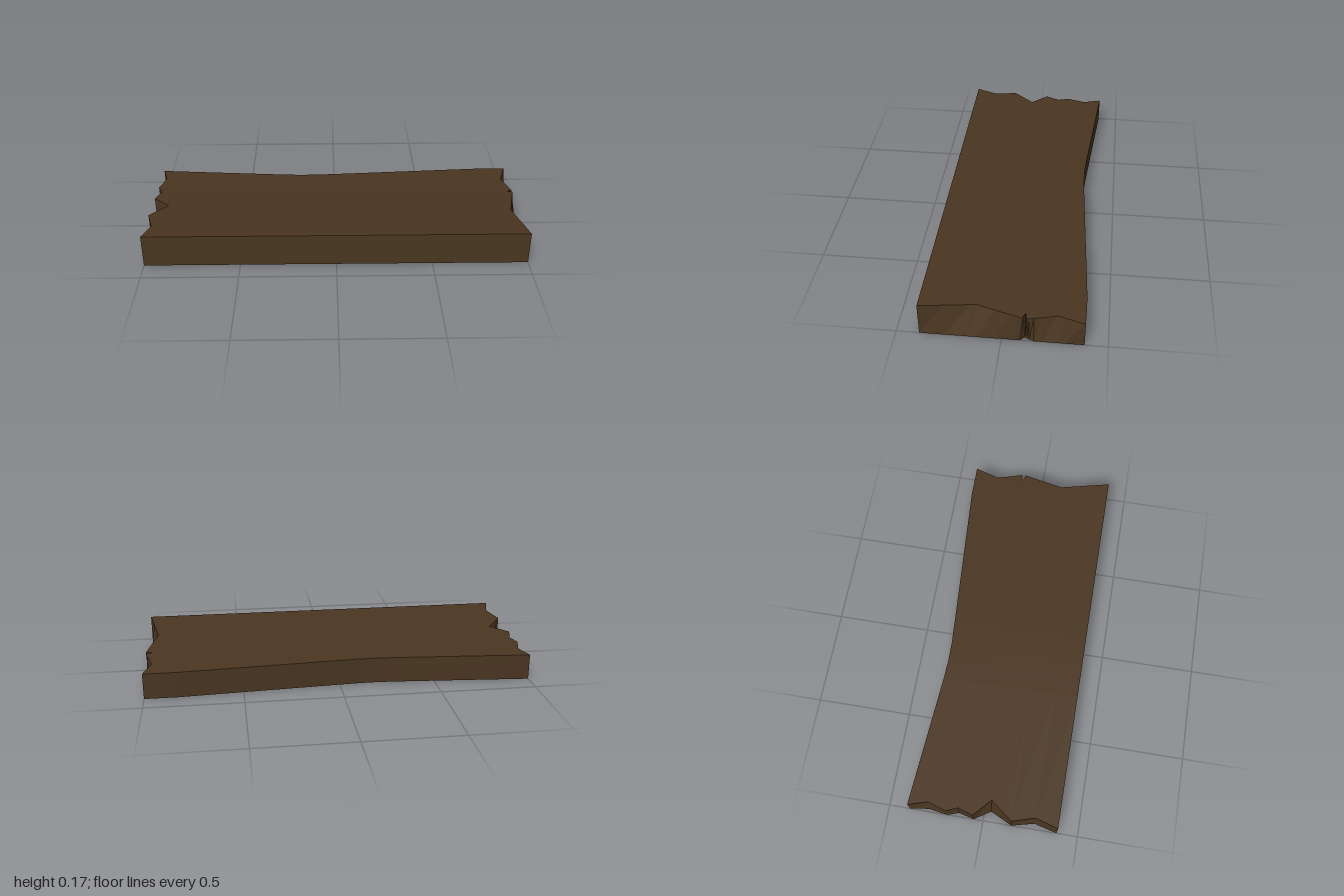
import * as THREE from 'three';

// piecewise-linear lookup, points sorted by first value
function lerpPath(points, t) {
  for (let i = 1; i < points.length; i++) {
    const [t0, v0] = points[i - 1], [t1, v1] = points[i];
    if (t <= t1) return v0 + (v1 - v0) * Math.max(0, (t - t0) / (t1 - t0));
  }
  return points[points.length - 1][1];
}

// broken ends as [z, x], separately for the upper and lower edges
const leftTop = [[-0.39, -1], [-0.29, -0.97], [-0.19, -1], [-0.13, -0.975], [-0.05, -1],
  [0.035, -0.91], [0.15, -1], [0.27, -0.965], [0.39, -1]];
const leftBottom = [[-0.39, -1], [-0.29, -0.985], [-0.19, -1], [-0.13, -0.98], [-0.05, -1],
  [0.035, -0.945], [0.15, -1], [0.27, -0.97], [0.39, -1]];
const rightTop = [[-0.39, 1], [-0.26, 0.96], [-0.12, 0.998], [-0.11, 0.96], [-0.1, 0.998],
  [0.12, 0.945], [0.39, 1]];
const rightBottom = [[-0.39, 1], [-0.152, 1], [-0.108, 0.98], [-0.087, 1], [0.39, 1]];

// thickness across the board [z, y] and the worn back edge [x, z]
const thickness = [[-0.39, 0.135], [-0.19, 0.136], [0.39, 0.175]];
const backEdge = [[-1, -0.39], [-0.3, -0.335], [-0.2, -0.33], [-0.1, -0.331], [0.02, -0.338],
  [0.83, -0.39], [1, -0.39]];

function plankGeometry() {
  const paths = [leftTop, leftBottom, rightTop, rightBottom, thickness];
  const rows = [...new Set(paths.flat().map((p) => p[0]))].sort((a, b) => b - a);
  const columns = backEdge.slice(1, -1).map((p) => p[0]);

  // one closed cross-section per row: along the underside, back over the top
  const sections = rows.map((z, i) => {
    const last = i === rows.length - 1;
    const place = (x, top) => {
      const pz = last ? lerpPath(backEdge, x) : z;
      return [x, top ? lerpPath(thickness, pz) : 0, pz];
    };
    const bottom = [lerpPath(leftBottom, z), ...columns, lerpPath(rightBottom, z)];
    const top = [lerpPath(leftTop, z), ...columns, lerpPath(rightTop, z)];
    return [...bottom.map((x) => place(x, false)), ...top.reverse().map((x) => place(x, true))];
  });

  const positions = [];
  const quad = (a, b, c, d) => positions.push(...a, ...b, ...c, ...a, ...c, ...d);
  const n = sections[0].length;
  for (let i = 0; i < sections.length - 1; i++) {
    const s = sections[i], t = sections[i + 1];
    for (let j = 0; j < n; j++) {
      const k = (j + 1) % n;
      quad(s[j], t[j], t[k], s[k]);
    }
  }
  // long front and back faces
  const f = sections[0], b = sections[sections.length - 1];
  for (let j = 0; j < n / 2 - 1; j++) {
    quad(f[j], f[j + 1], f[n - 2 - j], f[n - 1 - j]);
    quad(b[j + 1], b[j], b[n - 1 - j], b[n - 2 - j]);
  }

  const geometry = new THREE.BufferGeometry();
  geometry.setAttribute('position', new THREE.Float32BufferAttribute(positions, 3));
  geometry.computeVertexNormals();
  return geometry;
}

export function createModel() {
  const group = new THREE.Group();
  group.name = 'brokenPlank';
  const wood = new THREE.MeshStandardMaterial({ color: 0x4a3621, flatShading: true });
  const plank = new THREE.Mesh(plankGeometry(), wood);
  plank.name = 'plank';
  group.add(plank);
  return group;
}
